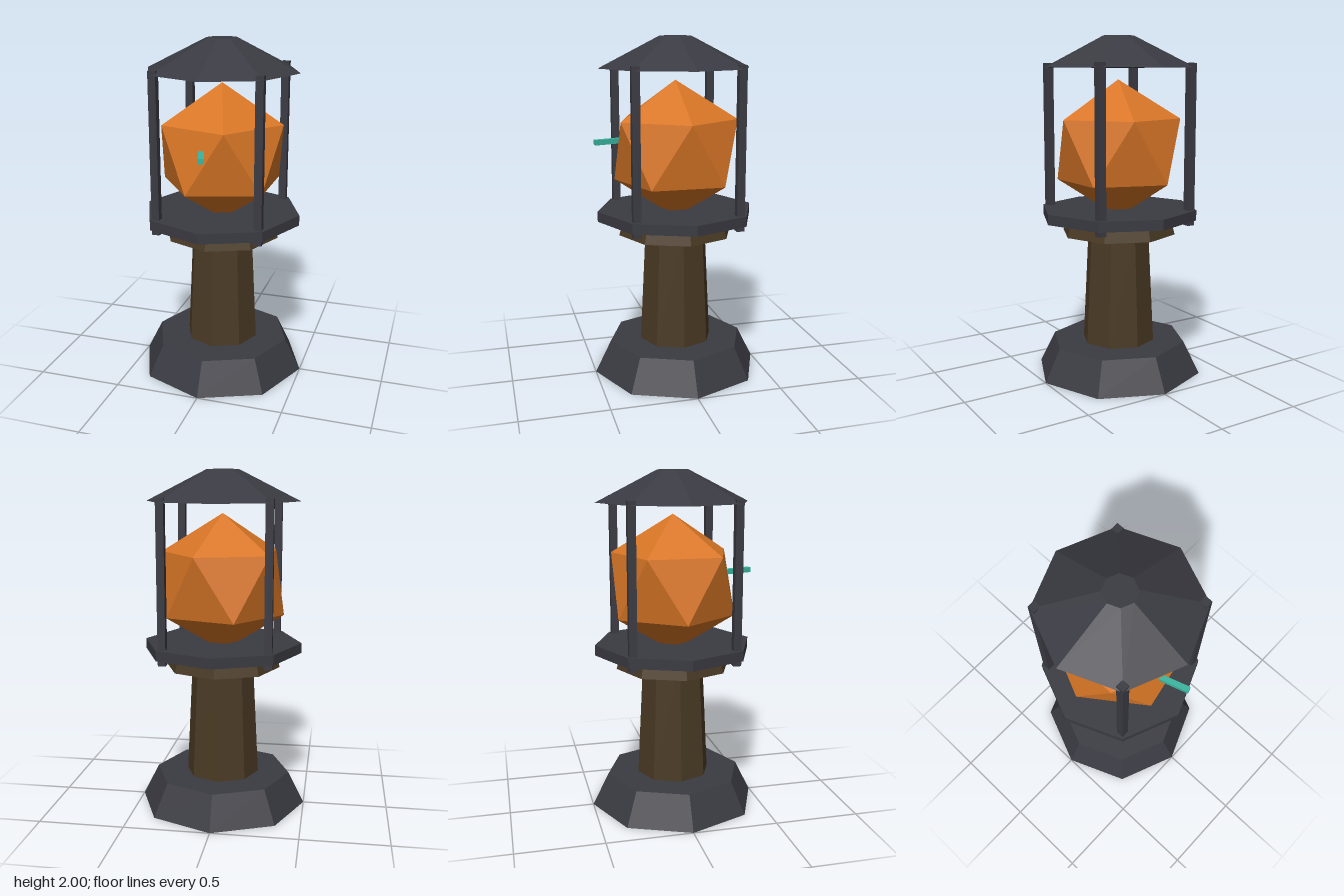
import * as THREE from 'three';

export function createModel() {
  const model = new THREE.Group();
  model.name = 'lanternTower';

  const flat = (name, color) => {
    const m = new THREE.MeshStandardMaterial({ color, flatShading: true });
    m.name = name;
    return m;
  };
  const iron = flat('dark iron', 0x3a3a42);
  const wood = flat('dark wood', 0x4a3a24);
  const amber = flat('amber', 0xd87626);
  const teal = flat('teal', 0x3ab5a0);

  const add = (name, geometry, material, x, y, z) => {
    const mesh = new THREE.Mesh(geometry, material);
    mesh.name = name;
    mesh.position.set(x, y, z);
    model.add(mesh);
    return mesh;
  };

  // Eight-sided tapered tier between two heights
  const tier = (name, material, rBottom, rTop, y0, y1) =>
    add(name, new THREE.CylinderGeometry(rTop, rBottom, y1 - y0, 8), material, 0, (y0 + y1) / 2, 0);

  tier('base', iron, 0.5, 0.405, 0, 0.19);
  tier('column', wood, 0.218, 0.182, 0.19, 0.9);
  tier('collar', wood, 0.342, 0.315, 0.85, 0.95);
  tier('platform', iron, 0.468, 0.468, 0.94, 1.0);
  tier('roof', iron, 0.45, 0.092, 1.82, 2.0);

  // Corner posts
  const post = new THREE.BoxGeometry(0.045, 0.935, 0.045);
  for (const x of [-0.3, 0.3]) {
    for (const z of [-0.3, 0.3]) add('post', post, iron, x, 1.378, z);
  }

  // Faceted lamp standing on one vertex
  const lamp = new THREE.IcosahedronGeometry(0.405, 0);
  lamp.rotateZ(-Math.atan(2 / (1 + Math.sqrt(5))));
  add('lamp', lamp, amber, 0, 1.347, 0);

  // Small peg sticking out of the lamp
  const peg = new THREE.BoxGeometry(0.031, 0.03, 0.24);
  peg.translate(0, 0, -0.12);
  add('peg', peg, teal, 0.03, 1.41, 0.478).rotation.y = Math.PI / 10;

  return model;
}
